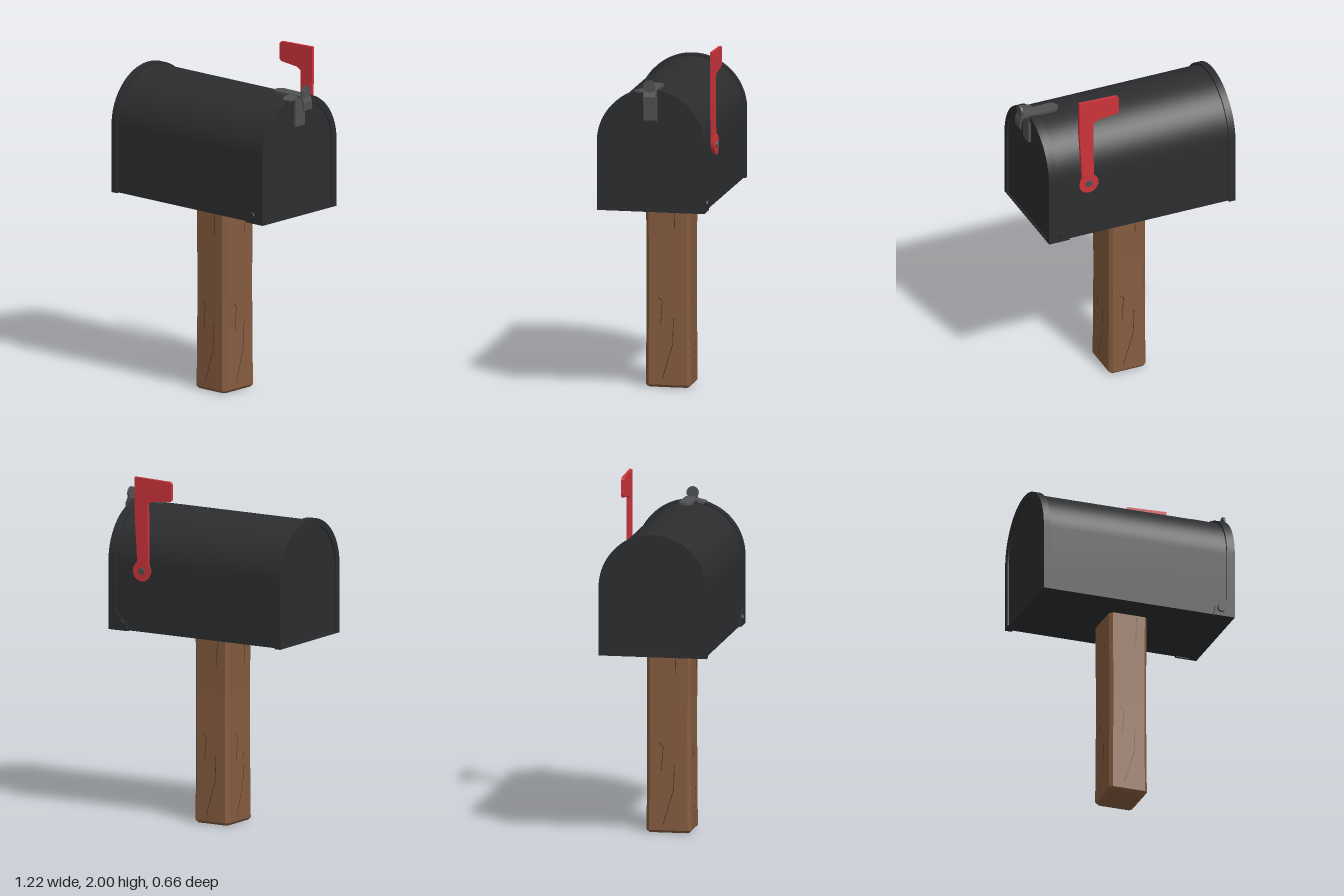
import * as THREE from 'three';
import { toCreasedNormals } from 'three/addons/utils/BufferGeometryUtils.js';

const mat = (name, color, extra = {}) => Object.assign(new THREE.MeshStandardMaterial({ color, ...extra }), { name });

export function createModel() {
  const black = mat('black metal', 0x2c2d2f);
  const wood = mat('brown wood', 0x855c3f);
  const red = mat('red flag', 0xcc343b);
  const grey = mat('grey latch', 0x505152);
  const dark = mat('dark crack', 0x4a3220, { side: THREE.DoubleSide });
  const model = new THREE.Group();
  model.name = 'mailbox';

  const add = (name, geo, material, x = 0, y = 0, z = 0, parent = model) => {
    const mesh = new THREE.Mesh(geo, material);
    mesh.name = name;
    mesh.position.set(x, y, z);
    parent.add(mesh);
    return mesh;
  };
  const polygon = (pts) => new THREE.Shape(pts.map(([x, y]) => new THREE.Vector2(x, y)));

  // Arched outline: straight sides with a half-round top
  const arch = (half, top, bottom) => {
    const s = new THREE.Shape();
    s.moveTo(-half, bottom);
    s.lineTo(half, bottom);
    s.lineTo(half, top - half);
    s.absarc(0, top - half, half, 0, Math.PI, false);
    s.lineTo(-half, bottom);
    return s;
  };
  // Extrude an outline along x from x0 to x1
  const alongX = (shape, x0, x1) => {
    const g = new THREE.ExtrudeGeometry(shape, { depth: x1 - x0, bevelEnabled: false, curveSegments: 20 });
    g.rotateY(Math.PI / 2).translate(x0, 0, 0.01);
    return toCreasedNormals(g, 0.5);
  };
  const rim = () => {
    const s = arch(0.312, 1.807, 1.1);
    s.holes.push(arch(0.275, 1.77, 1.112));
    return s;
  };

  // Box body with recessed end panels and raised rims
  add('body', alongX(arch(0.303, 1.793, 1.104), -0.6, 0.54), black);
  add('backRim', alongX(rim(), -0.61, -0.57), black);
  add('doorRim', alongX(rim(), 0.5, 0.548), black);

  // Door hinges: a tab and a bolt on each side
  for (const side of [1, -1]) {
    const hinge = new THREE.Group();
    hinge.name = side > 0 ? 'frontHinge' : 'backHinge';
    hinge.position.set(0, 0, 0.01 + side * 0.305);
    model.add(hinge);
    const tab = polygon([[0.42, 1.1], [0.53, 1.1], [0.53, 1.26], [0.5, 1.2], [0.43, 1.16]]);
    const tabGeo = new THREE.ExtrudeGeometry(tab, { depth: 0.014, bevelEnabled: false });
    add('hingeTab', tabGeo, black, 0, 0, -0.007, hinge);
    const bolt = new THREE.CylinderGeometry(0.02, 0.024, 0.012, 12).rotateX(side * Math.PI / 2);
    add('hingeBolt', bolt, black, 0.465, 1.145, side * 0.009, hinge);
  }

  // Square post with chamfered edges, slightly slimmer toward the top
  const w = 0.115, d = 0.13, c = 0.018;
  const postShape = polygon([[-w + c, -d], [w - c, -d], [w, -d + c], [w, d - c],
    [w - c, d], [-w + c, d], [-w, d - c], [-w, -d + c]]);
  const post = new THREE.ExtrudeGeometry(postShape, {
    depth: 1.09, steps: 6, bevelThickness: 0.015, bevelSize: 0.015, bevelOffset: -0.015, bevelSegments: 1,
  });
  post.rotateX(-Math.PI / 2).translate(0, 0.015, 0);
  const p = post.attributes.position;
  for (let i = 0; i < p.count; i++) {
    const k = 1 - 0.03 * Math.sin(p.getY(i) * 2.6);
    p.setX(i, p.getX(i) * k);
    p.setZ(i, p.getZ(i) * k);
  }
  post.computeVertexNormals();
  add('post', post, wood, -0.025, 0, 0.01);

  // Thin cracks in the wood, one set per post face
  const cracks = [
    [[-0.04, 0.36], [-0.03, 0.5], [-0.055, 0.52]],
    [[-0.03, 0.05], [0.03, 0.25], [0.035, 0.4]],
    [[0.04, 0.92], [0.045, 1.09]],
  ];
  const faces = [[0, d], [Math.PI / 2, w], [Math.PI, d], [-Math.PI / 2, w]];
  faces.forEach(([turn, dist]) => {
    const face = new THREE.Group();
    face.name = 'woodCracks';
    face.position.set(-0.025, 0, 0.01);
    face.rotation.y = turn;
    model.add(face);
    for (const line of cracks) {
      for (let i = 1; i < line.length; i++) {
        const [ax, ay] = line[i - 1], [bx, by] = line[i];
        const sliver = add('crack', new THREE.PlaneGeometry(0.004, Math.hypot(bx - ax, by - ay)), dark,
          (ax + bx) / 2, (ay + by) / 2, dist + 0.001, face);
        sliver.rotation.z = Math.atan2(ax - bx, by - ay);
      }
    }
  });

  // Signal flag on the back side, with its round pivot
  const flag = polygon([[0.275, 1.46], [0.345, 1.46], [0.365, 1.8], [0.365, 2], [0.13, 1.993],
    [0.118, 1.98], [0.118, 1.89], [0.13, 1.878], [0.25, 1.866], [0.278, 1.85]]);
  add('flag', new THREE.ExtrudeGeometry(flag, { depth: 0.018, bevelEnabled: false }), red, 0, 0, -0.313);
  const disc = new THREE.CylinderGeometry(0.06, 0.05, 0.024, 20).rotateX(-Math.PI / 2);
  add('flagPivot', toCreasedNormals(disc, 0.6), red, 0.31, 1.462, -0.312);
  const pin = new THREE.CylinderGeometry(0.02, 0.022, 0.008, 12).rotateX(-Math.PI / 2);
  add('flagBolt', pin, grey, 0.31, 1.462, -0.327);

  // Latch: a top strap with a rounded end and a small side ear
  const latch = new THREE.Group();
  latch.name = 'latch';
  model.add(latch);
  const strap = new THREE.Shape();
  strap.moveTo(0.4, -0.04);
  strap.lineTo(0.58, -0.035);
  strap.lineTo(0.58, 0.035);
  strap.lineTo(0.4, 0.04);
  strap.absarc(0.4, 0, 0.04, Math.PI / 2, Math.PI * 1.5, false);
  const strapGeo = new THREE.ExtrudeGeometry(strap, { depth: 0.014, bevelEnabled: false }).rotateX(-Math.PI / 2);
  add('latchStrap', strapGeo, grey, 0, 1.799, 0.005, latch);
  const ear = add('latchEar', new THREE.CylinderGeometry(0.04, 0.04, 0.012, 14), grey, 0.53, 1.797, 0.07, latch);
  ear.rotation.x = 0.22;

  // Curved door catch, upright thumb tab and door plate
  const hook = polygon([[0.55, 1.8], [0.588, 1.795], [0.598, 1.77], [0.598, 1.73], [0.606, 1.73],
    [0.608, 1.775], [0.596, 1.806], [0.55, 1.812]]);
  add('latchHook', new THREE.ExtrudeGeometry(hook, { depth: 0.07, bevelEnabled: false }), grey, 0, 0, -0.03, latch);
  add('thumbTab', new THREE.BoxGeometry(0.01, 0.045, 0.06), grey, 0.592, 1.816, 0.008, latch);
  const tip = new THREE.CylinderGeometry(0.035, 0.035, 0.012, 18).rotateZ(Math.PI / 2);
  add('thumbTip', tip, grey, 0.592, 1.834, 0.008, latch);
  add('doorPlate', new THREE.BoxGeometry(0.016, 0.17, 0.078), grey, 0.547, 1.715, 0.011, latch);

  return model;
}
